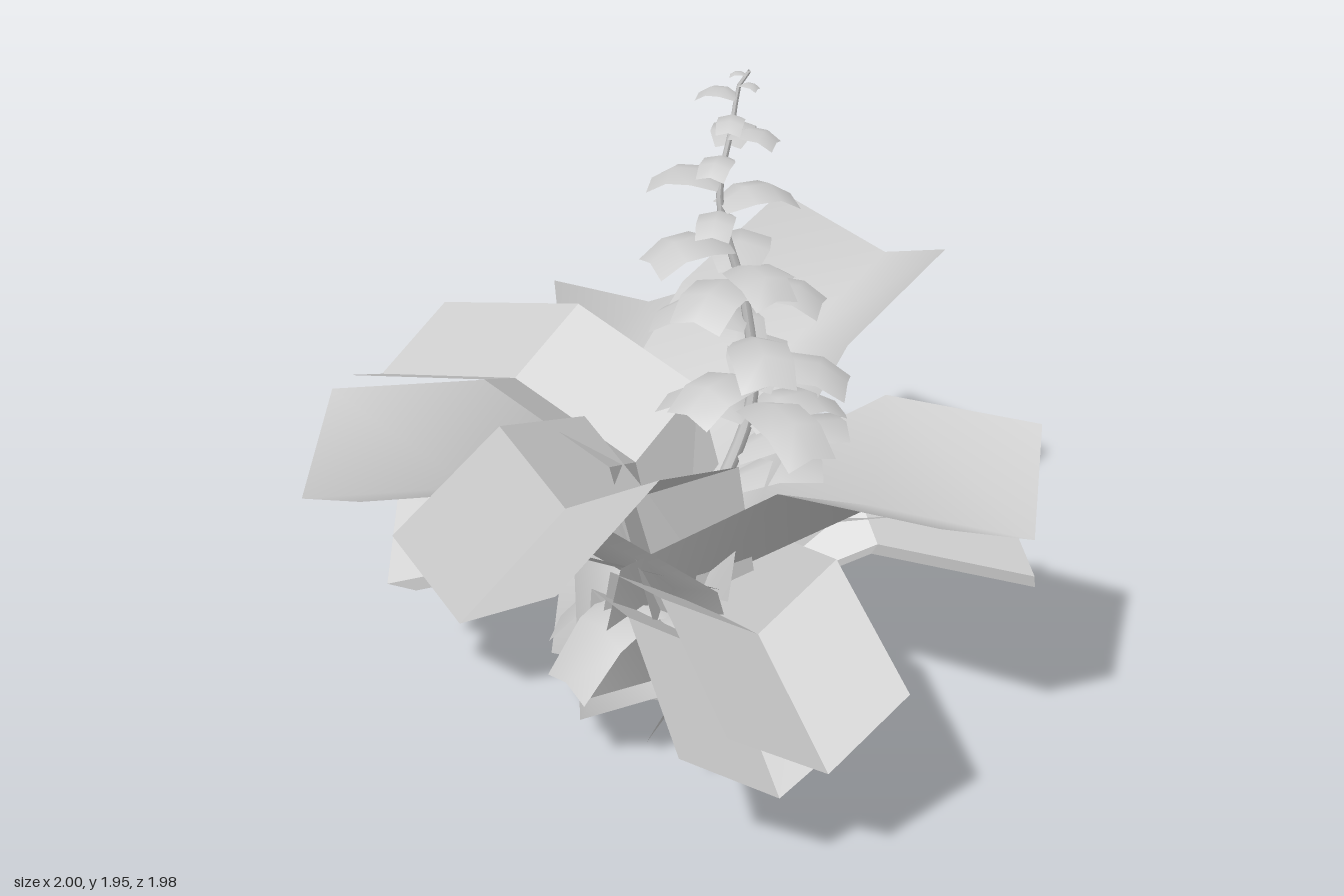
import * as THREE from 'three';

const smooth = new THREE.MeshStandardMaterial({ color: 0xcccccc, side: THREE.DoubleSide });
const flat = new THREE.MeshStandardMaterial({ color: 0xcccccc, side: THREE.DoubleSide, flatShading: true });

// Leaf card running along local +z. Each station is [z, y, halfWidth, edgeZ, edgeY];
// both side edges are shifted from the midrib by (edgeZ, edgeY) * halfWidth.
function leafGeometry(stations) {
  const pos = [], index = [];
  stations.forEach(([z, y, w, edgeZ, edgeY], i) => {
    for (const s of [-1, 0, 1]) {
      const k = Math.abs(s) * w;
      pos.push(s * w, y + edgeY * k, z + edgeZ * k);
    }
    if (i === 0) return;
    for (let j = 0; j < 2; j++) {
      const a = (i - 1) * 3 + j, b = a + 3;
      index.push(a, b, a + 1, a + 1, b, b + 1);
    }
  });
  const g = new THREE.BufferGeometry();
  g.setAttribute('position', new THREE.Float32BufferAttribute(pos, 3));
  g.setIndex(index);
  g.computeVertexNormals();
  return g;
}

function addLeaf(group, name, geometry, material, position, heading) {
  const mesh = new THREE.Mesh(geometry, material);
  mesh.name = name;
  mesh.position.set(...position);
  mesh.rotation.y = heading;
  group.add(mesh);
}

// Heading for an angle in degrees measured from +x towards +z
const headingOf = (deg) => Math.PI / 2 - THREE.MathUtils.degToRad(deg);

export function createModel() {
  const plant = new THREE.Group();
  plant.name = 'plant';

  // Winding stem, thinner towards the top
  const spine = new THREE.CatmullRomCurve3([
    [-0.01, 0, 0.055], [0.0, 0.3, 0.055], [0.08, 0.65, 0.05], [0.19, 1.0, 0.05], [0.17, 1.3, 0.05],
    [0.1, 1.6, 0.055], [0.13, 1.8, 0.05], [0.15, 1.92, 0.05], [0.17, 1.95, 0.06],
  ].map((p) => new THREE.Vector3(...p)));
  const stemGeometry = new THREE.TubeGeometry(spine, 40, 1, 7);
  const p = stemGeometry.attributes.position;
  for (let i = 0; i < p.count; i++) {
    const t = Math.floor(i / 8) / 40;
    const c = spine.getPointAt(t);
    const v = new THREE.Vector3().fromBufferAttribute(p, i).sub(c).multiplyScalar(0.03 - 0.025 * t).add(c);
    p.setXYZ(i, v.x, Math.max(v.y, 0), v.z);
  }
  stemGeometry.computeVertexNormals();
  const stem = new THREE.Mesh(stemGeometry, smooth);
  stem.name = 'stem';
  plant.add(stem);

  const stemAt = (y) => {
    let lo = 0, hi = 1;
    for (let i = 0; i < 20; i++) {
      const m = (lo + hi) / 2;
      if (spine.getPoint(m).y < y) lo = m; else hi = m;
    }
    return spine.getPoint(lo);
  };

  // Large leaves: tip x, y, z, heading x, z, rise of the bend above the tip, height of the foot
  const wide = [
    [0, 0.755, -1.0, 0, -1, -0.015, 0.06],
    [0.67, 1.035, -0.72, 0.707, -0.707, -0.115, 0.08],
    [0.835, 0.905, 0.63, 0.8, 0.6, -0.05, 0.12],
    [-1.0, 0.845, 0.175, -0.99, 0.145, -0.03, 0.15],
  ];
  const narrow = [
    [1.0, 0.38, 0.03, 1, 0, 0.135, 0.04],
    [0.28, 0.48, 0.975, 0.276, 0.96, 0.12, 0.05],
    [-0.6, 0.855, 0.79, -0.61, 0.79, 0.085, 0.16],
    [-0.8, 0.815, -0.52, -0.83, -0.56, 0.11, 0.16],
    [0.17, 0.36, 0.91, 0.2, 0.98, 0.12, 0.03],
    [0.735, 0.36, -0.39, 0.87, -0.5, 0.13, 0.04],
    [-0.8, 0.48, 0.05, -0.99, 0.1, 0.05, 0.04],
  ];
  // Each one climbs steeply from the stem's foot, spreads outwards, then bends over
  const addLarge = (name, list, w, edgeZ, edgeY, slope, inner, material) => {
    for (const [x, y, z, dx, dz, rise, foot] of list) {
      const reach = Math.min(0.46 + inner, Math.hypot(x - 0.05, z - 0.05) - 0.03);
      const toStem = Math.hypot(x, z - 0.055) - 0.01;
      const stations = [
        [-toStem, foot - y, w, -0.5, 0.1],
        [-reach, rise - (reach - 0.45) * slope, w, edgeZ, edgeY],
        [-0.45, rise, w, edgeZ, edgeY],
        [0, 0, w, edgeZ, edgeY],
      ];
      addLeaf(plant, name, leafGeometry(stations), material, [x, y, z], Math.atan2(dx, dz));
    }
  };
  addLarge('wideLeaf', wide, 0.29, -0.43, 0.52, 0.83, 0.46, smooth);
  addLarge('narrowLeaf', narrow, 0.243, -0.25, 0.55, 0.42, 0.37, flat);

  // Arched little leaves up the stem: height, angle, length
  const stemLeaves = [
    [1.94, 190, 0.04], [1.91, 30, 0.05], [1.88, 205, 0.1], [1.83, 105, 0.1], [1.78, 25, 0.12],
    [1.75, 285, 0.16], [1.72, 115, 0.12], [1.65, 200, 0.18], [1.59, -20, 0.2], [1.57, 105, 0.14],
    [1.48, 160, 0.22], [1.41, 65, 0.2], [1.4, 280, 0.24], [1.37, 125, 0.24], [1.34, 20, 0.21],
    [1.31, 300, 0.22], [1.25, 200, 0.25], [1.2, 85, 0.24], [1.18, 250, 0.24],
    [1.1, 15, 0.25], [1.08, 140, 0.25], [1.04, 280, 0.33], [1.0, 65, 0.3], [0.97, 215, 0.25],
    [0.94, -25, 0.28], [0.85, -8, 0.42], [0.75, 0, 0.42],
  ];
  for (const [y, deg, len] of stemLeaves) {
    const w = Math.min(len * 0.34, 0.08);
    const stations = [[0, 0, w * 0.6], [len * 0.35, len * 0.16, w], [len * 0.7, len * 0.14, w], [len, -len * 0.06, w * 0.9]];
    addLeaf(plant, 'stemLeaf', leafGeometry(stations.map((s) => [...s, 0, -0.3])), smooth, stemAt(y).toArray(), headingOf(deg));
  }

  // Short spreading leaves below the large ones
  for (const [deg, len, y] of [[12, 0.51, 0.4], [85, 0.42, 0.43], [150, 0.38, 0.44], [205, 0.36, 0.42], [270, 0.38, 0.43], [320, 0.38, 0.4]]) {
    const stations = [[0, -0.05, 0.06], [len * 0.4, 0.02, 0.1], [len * 0.7, -0.04, 0.1], [len, -0.18, 0.09]];
    addLeaf(plant, 'lowerLeaf', leafGeometry(stations.map((s) => [...s, 0, -0.3])), smooth, [0, y, 0.055], headingOf(deg));
  }

  return plant;
}
